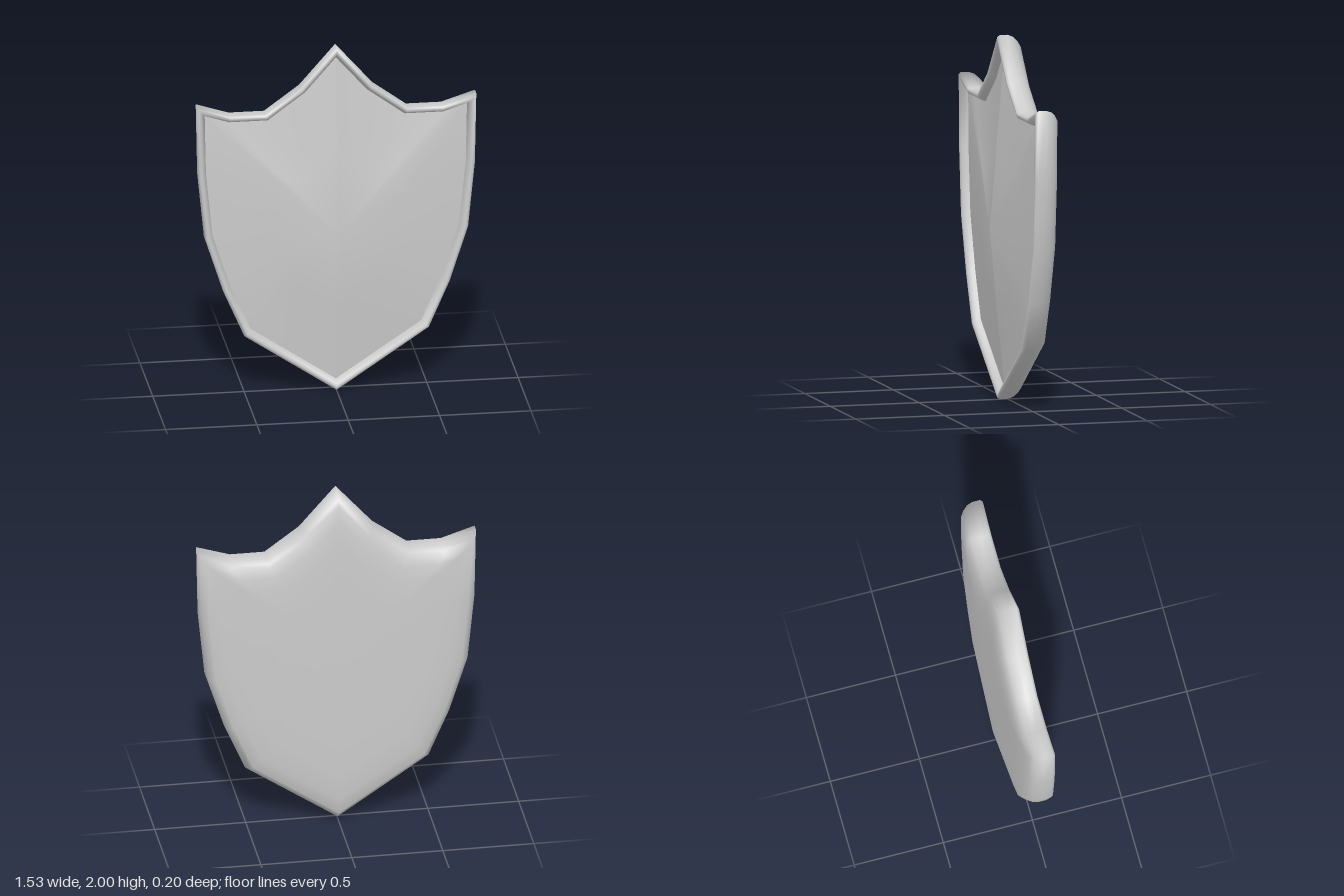
import * as THREE from 'three';
import { mergeVertices } from 'three/addons/utils/BufferGeometryUtils.js';

// Right half of the outline, clockwise from the top point to the bottom point
const half = [
  [0, 2], [0.2, 1.77], [0.39, 1.63], [0.58, 1.63], [0.765, 1.69],
  [0.757, 1.29], [0.72, 0.92], [0.62, 0.61], [0.505, 0.345], [0, 0.005],
];
const outline = [
  ...half,
  ...half.slice(1, -1).reverse().map(([x, y]) => [-x, y]),
].map(([x, y]) => new THREE.Vector2(x, y));

// Moves the outline inwards by d with mitred corners
function inset(d) {
  const n = outline.length;
  const normal = (a, b) => new THREE.Vector2(b.y - a.y, a.x - b.x).normalize();
  return outline.map((p, i) => {
    const n1 = normal(outline[(i + n - 1) % n], p);
    const n2 = normal(p, outline[(i + 1) % n]);
    return n1.clone().add(n2).multiplyScalar(d / (1 + n1.dot(n2))).add(p);
  });
}

// One cross-section: inset outline, scaled about (0, cy), at depth z
function ring(d, z, scale = 1, cy = 1.05) {
  return inset(d).map((p) => [p.x * scale, cy + (p.y - cy) * scale, z]);
}

// Skins a list of rings, closed or open, with smooth normals
function loft(rings, closed) {
  const n = rings[0].length;
  const index = [];
  for (let r = 0; r < rings.length - 1; r++) {
    for (let i = 0; i < (closed ? n : n - 1); i++) {
      const j = (i + 1) % n;
      const a = r * n, b = a + n;
      index.push(a + i, a + j, b + i, a + j, b + j, b + i);
    }
  }
  const geometry = new THREE.BufferGeometry();
  geometry.setAttribute('position', new THREE.Float32BufferAttribute(rings.flat(2), 3));
  geometry.setIndex(index);
  const merged = mergeVertices(geometry);
  merged.computeVertexNormals();
  return merged;
}

export function createModel() {
  const group = new THREE.Group();
  group.name = 'shield';
  const material = new THREE.MeshStandardMaterial({ color: 0xcccccc });
  const add = (name, geometry) => {
    const mesh = new THREE.Mesh(geometry, material);
    mesh.name = name;
    group.add(mesh);
  };

  // Raised front rim, side wall and rounded back
  add('rimAndBack', loft([
    ring(0.047, 0.012),
    ring(0.04, 0.034),
    ring(0.031, 0.052),
    ring(0.019, 0.06),
    ring(0.007, 0.058),
    ring(0, 0.045),
    ring(0, 0),
    ring(0.008, -0.03),
    ring(0.024, -0.055),
    ring(0.045, -0.074),
    ring(0.06, -0.088, 0.93),
    ring(0.06, -0.097, 0.78),
    ring(0.06, -0.1, 0.5),
    ring(0.06, -0.1, 0),
  ], true));

  // Front panel in two halves, meeting in a crisp central ridge
  const cy = 0.93;
  const panel = [
    ring(0.046, 0.1, 0, cy),
    ring(0.046, 0.06, 0.5, cy),
    ring(0.046, 0.016, 1, cy),
  ];
  const last = half.length - 1;
  add('leftPanel', loft(panel.map((r) => r.slice(0, last + 1)), false));
  add('rightPanel', loft(panel.map((r) => [...r.slice(last), r[0]]), false));

  return group;
}
